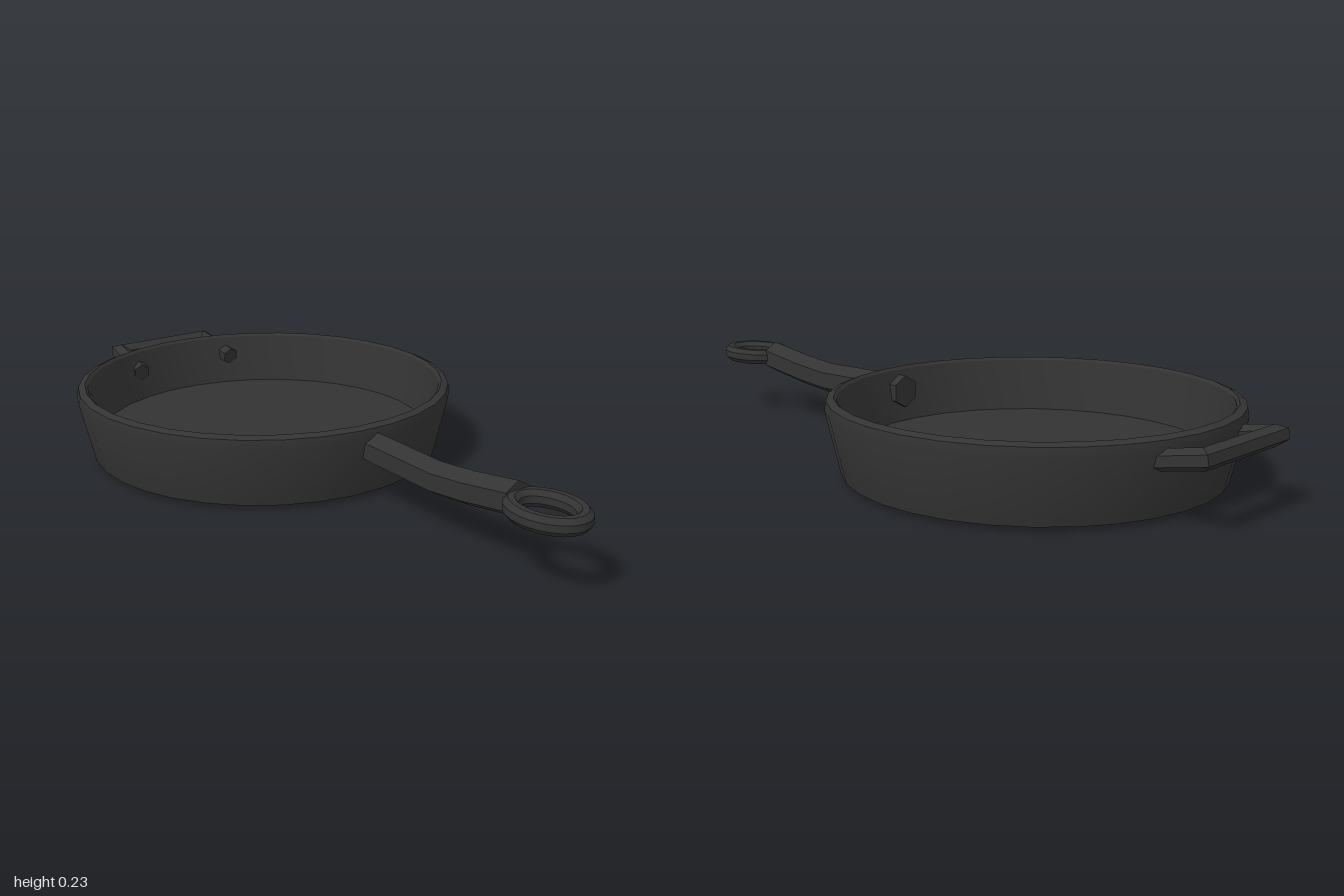
import * as THREE from 'three';
import { toCreasedNormals } from 'three/addons/utils/BufferGeometryUtils.js';

const iron = new THREE.MeshStandardMaterial({ color: 0x333333 });
const PAN_Z = -0.335;
const v3 = (x, y, z) => new THREE.Vector3(x, y, z);

// Regular polygon section as [sideways, upward] pairs
function polygon(sides, rx, ry, turn) {
  return Array.from({ length: sides }, (_, i) => {
    const a = turn + (i / sides) * Math.PI * 2;
    return [Math.cos(a) * rx, Math.sin(a) * ry];
  });
}

// Sweeps a section along a path with mitred corners; "up" is the section's vertical axis
function sweep(path, section, up, closed = false) {
  const n = path.length, m = section.length, pos = [], index = [];
  path.forEach((p, i) => {
    const prev = path[closed ? (i + n - 1) % n : Math.max(i - 1, 0)];
    const next = path[closed ? (i + 1) % n : Math.min(i + 1, n - 1)];
    const d1 = p.clone().sub(prev).normalize();
    const d2 = next.clone().sub(p).normalize();
    const t = d1.clone().add(d2).normalize();
    const miter = 1 / Math.max(t.dot(d2), t.dot(d1));
    const side = up.clone().cross(t).normalize();
    for (const [a, b] of section) {
      const q = p.clone().addScaledVector(side, a * miter).addScaledVector(up, b);
      pos.push(q.x, q.y, q.z);
    }
  });
  for (let i = 0; i < (closed ? n : n - 1); i++) {
    for (let j = 0; j < m; j++) {
      const k = (j + 1) % m, e = ((i + 1) % n) * m;
      index.push(i * m + j, i * m + k, e + k, i * m + j, e + k, e + j);
    }
  }
  if (!closed) {
    const e = (n - 1) * m;
    for (let j = 1; j < m - 1; j++) index.push(0, j + 1, j, e, e + j, e + j + 1);
  }
  const g = new THREE.BufferGeometry();
  g.setAttribute('position', new THREE.Float32BufferAttribute(pos, 3));
  g.setIndex(index);
  return g;
}

export function createModel() {
  const group = new THREE.Group();
  group.name = 'skillet';
  const add = (name, geometry) => {
    const mesh = new THREE.Mesh(toCreasedNormals(geometry, 0.5), iron);
    mesh.name = name;
    group.add(mesh);
    return mesh;
  };

  // Pan body: underside, flared wall, chamfered rim, inner wall, cooking floor
  const profile = [
    [0, 0], [0.47, 0.002], [0.528, 0.012], [0.57, 0.19], [0.565, 0.215], [0.545, 0.223],
    [0.537, 0.215], [0.503, 0.066], [0, 0.066],
  ].map(([r, y]) => new THREE.Vector2(r, y));
  const pan = add('pan', new THREE.LatheGeometry(profile, 32, Math.PI / 32));
  pan.position.z = PAN_Z;

  // Long hexagonal handle, pushed slightly through the wall and curving up
  const handlePath = [
    v3(0, 0.154, 0.165), v3(0, 0.148, 0.5), v3(0, 0.16, 0.62), v3(0, 0.184, 0.78),
  ];
  add('handle', sweep(handlePath, polygon(6, 0.048, 0.048, Math.PI / 6), v3(0, 1, 0)));

  // Oval hanging ring at the handle's end
  const ringPath = Array.from({ length: 24 }, (_, i) => {
    const a = (i / 24) * Math.PI * 2;
    return v3(Math.sin(a) * 0.073, 0.185, 0.879 + Math.cos(a) * 0.101);
  });
  add('hangingRing', sweep(ringPath, polygon(8, 0.0215, 0.025, Math.PI / 8), v3(0, 1, 0), true));

  // U-shaped helper grip at the back, tilted upward away from the pan
  const gripPath = [
    v3(0.172, 0.155, -0.81), v3(0.161, 0.186, -0.976),
    v3(-0.161, 0.186, -0.976), v3(-0.172, 0.155, -0.81),
  ];
  const gripUp = v3(0, 0.166, 0.031).normalize();
  add('helperGrip', sweep(gripPath, polygon(6, 0.028, 0.028, Math.PI / 6), gripUp));

  return group;
}
